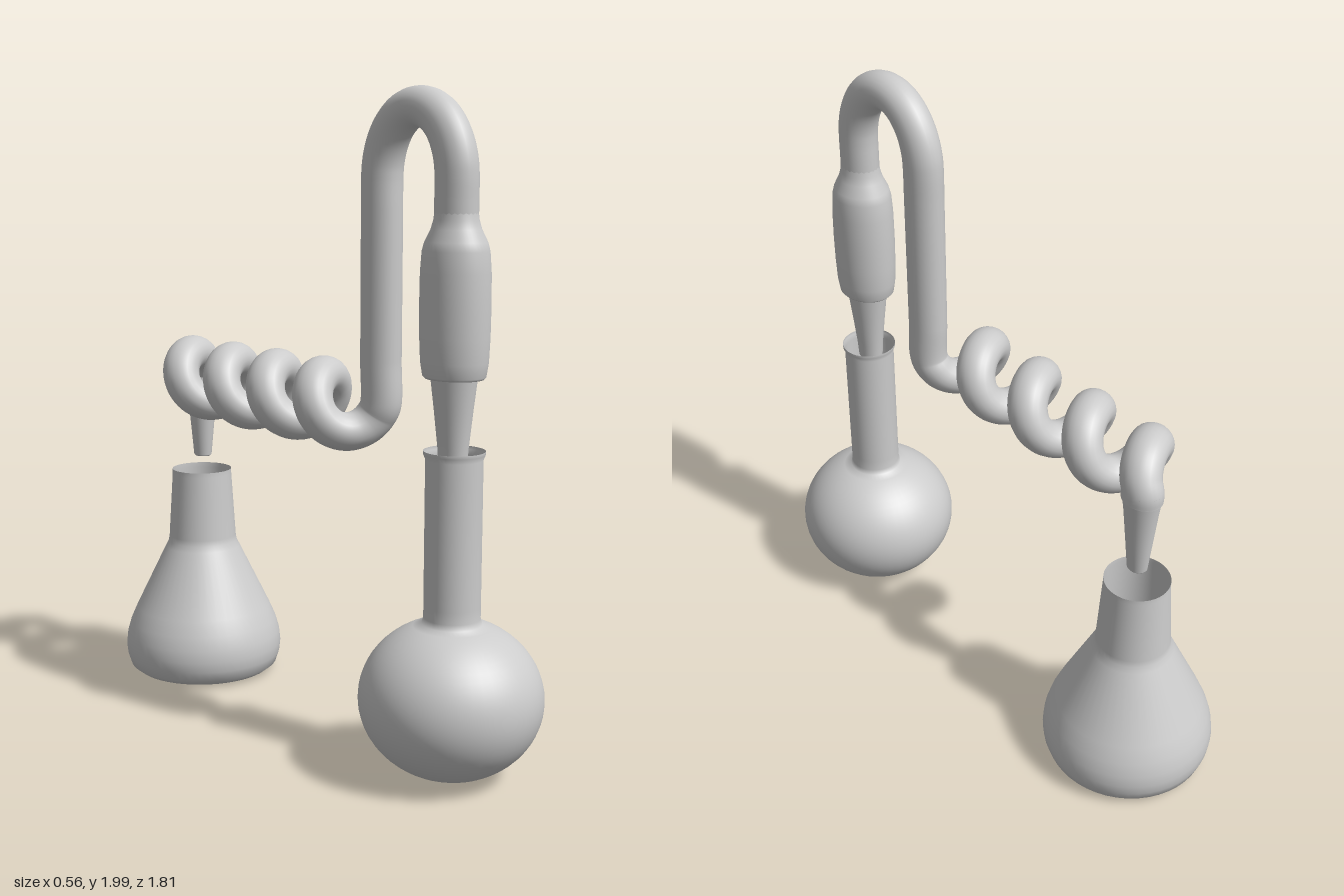
import * as THREE from 'three';

const material = new THREE.MeshStandardMaterial({ color: 0xcccccc, side: THREE.DoubleSide });
const STRETCH = 1.15; // the glass tubing is slightly wider along z
const FRONT_Z = 0.635, LEG_Z = 0.32, BACK_Z = -0.632;
const COIL_Y = 1.068, COIL_R = 0.08, TUBE_R = 0.058, TURNS = 4;

function addMesh(parent, name, geometry, x = 0, z = 0) {
  const mesh = new THREE.Mesh(geometry, material);
  mesh.name = name;
  mesh.position.set(x, 0, z);
  parent.add(mesh);
  return mesh;
}

// Turned part from [radius, height] pairs
function lathe(points) {
  return new THREE.LatheGeometry(points.map(([r, y]) => new THREE.Vector2(r, y)), 48);
}

// Path of the tubing: riser, arched bend, long drop, coil, short turn down
function tubePath() {
  const pts = [];
  const add = (x, y, z) => pts.push(new THREE.Vector3(x, y, z / STRETCH));
  for (let y = 1.58; y < 1.72; y += 0.05) add(0, y, FRONT_Z);
  const mid = (FRONT_Z + LEG_Z) / 2, half = (FRONT_Z - LEG_Z) / 2;
  for (let i = 0; i <= 16; i++) {
    const a = Math.PI * i / 16;
    add(0, 1.74 + 0.2 * Math.sin(a), mid + half * Math.cos(a));
  }
  for (let y = 1.65; y > 1.13; y -= 0.09) add(0, y, LEG_Z);
  const steps = TURNS * 16;
  for (let i = 0; i <= steps; i++) {
    const a = 2 * Math.PI * TURNS * i / steps;
    add(COIL_R * (Math.cos(a) - 1), COIL_Y - COIL_R * Math.sin(a),
      LEG_Z + (BACK_Z - LEG_Z) * i / steps);
  }
  add(0, 1.04, BACK_Z);
  return new THREE.CatmullRomCurve3(pts);
}

export function createModel() {
  const model = new THREE.Group();
  model.name = 'distillationApparatus';

  // Round flask: bulb, straight neck and flared lip, open on top
  const bulb = [];
  for (let i = 0; i <= 28; i++) {
    const a = -Math.PI / 2 + (Math.PI / 2 + 1.24) * i / 28;
    bulb.push([Math.max(0, 0.272 * Math.cos(a)), 0.242 + 0.238 * Math.sin(a)]);
  }
  addMesh(model, 'roundFlask', lathe([
    ...bulb, [0.083, 0.485], [0.083, 0.52], [0.083, 0.95], [0.089, 0.965], [0.089, 0.975],
  ]), 0.006, FRONT_Z);

  // Conical flask: rounded foot, sloping wall, tapered open neck
  addMesh(model, 'conicalFlask', lathe([
    [0, 0.006], [0.2, 0.006], [0.235, 0.012], [0.258, 0.03], [0.27, 0.065], [0.274, 0.1],
    [0.27, 0.14], [0.257, 0.185], [0.235, 0.235], [0.13, 0.45], [0.12, 0.47], [0.117, 0.49],
    [0.103, 0.71], [0.103, 0.727],
  ]), -0.005, BACK_Z);

  // Glass tubing group, stretched along z
  const glass = new THREE.Group();
  glass.name = 'glassTubing';
  glass.scale.z = STRETCH;
  model.add(glass);

  addMesh(glass, 'coiledTube', new THREE.TubeGeometry(tubePath(), 480, TUBE_R, 24, false));

  // Adapter: wide sleeve with shoulders
  addMesh(glass, 'adapterSleeve', lathe([
    [0.06, 1.183], [0.078, 1.183], [0.084, 1.19], [0.09, 1.23], [0.093, 1.3], [0.094, 1.39],
    [0.093, 1.48], [0.089, 1.54], [0.083, 1.565], [0.067, 1.6], [0.06, 1.625], [0.057, 1.65],
  ]), 0, FRONT_Z / STRETCH);

  // Tapered tip that enters the round flask
  addMesh(glass, 'adapterTip', lathe([[0.038, 0.93], [0.041, 0.98], [0.052, 1.09], [0.063, 1.19]]),
    0, FRONT_Z / STRETCH);

  // Drip tip above the conical flask
  addMesh(glass, 'dripTip', lathe([
    [0, 0.778], [0.025, 0.773], [0.029, 0.778], [0.038, 0.88], [0.048, 0.99], [0.055, 1.05], [0.057, 1.075],
  ]), 0, BACK_Z / STRETCH);

  return model;
}
